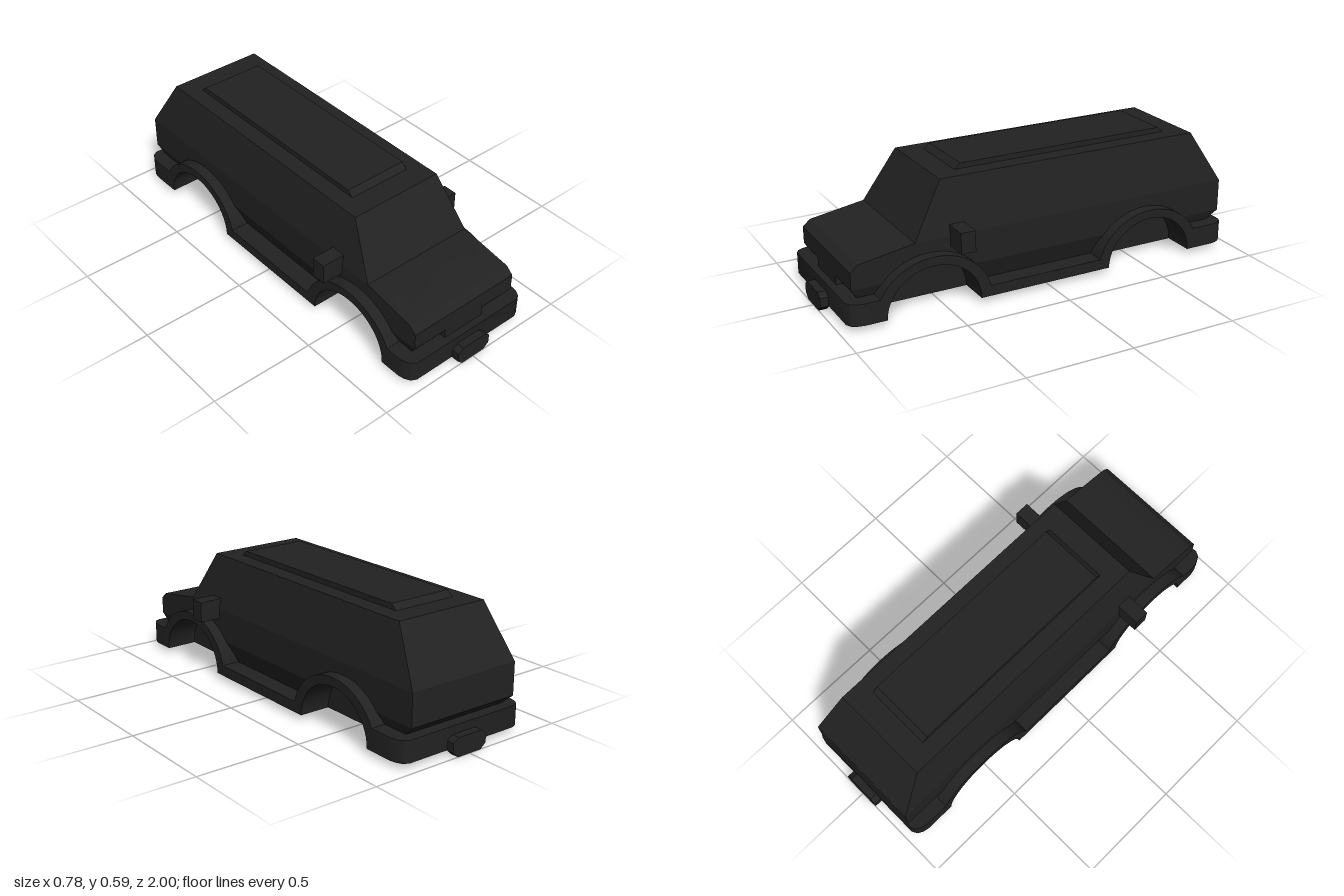
import * as THREE from 'three';
import { toCreasedNormals } from 'three/addons/utils/BufferGeometryUtils.js';

const WELL = 0.19;           // x of the inner wall of the wheel wells
const SKIRT = 0.34;          // half width of sills, arches and bumpers
const WHEELS = [0.572, -0.53];

export function createModel() {
  const model = new THREE.Group();
  model.name = 'van';
  const paint = new THREE.MeshStandardMaterial({ color: 0x222222 });
  paint.name = 'charcoal';

  const add = (name, geometry) => {
    const mesh = new THREE.Mesh(toCreasedNormals(geometry, 0.5), paint);
    mesh.name = name;
    model.add(mesh);
    return mesh;
  };

  const box = (name, x0, x1, y0, y1, z0, z1) => add(name,
    new THREE.BoxGeometry(x1 - x0, y1 - y0, z1 - z0)
      .translate((x0 + x1) / 2, (y0 + y1) / 2, (z0 + z1) / 2));

  // Extrude a [z, y] side profile across x; width(y) reshapes the outer faces
  const slab = (name, profile, x0, x1, width) => {
    const shape = new THREE.Shape(profile.map(([z, y]) => new THREE.Vector2(-z, y)));
    const g = new THREE.ExtrudeGeometry(shape, { depth: x1 - x0, bevelEnabled: false });
    g.rotateY(Math.PI / 2).translate(x0, 0, 0);
    if (width) {
      const p = g.attributes.position;
      for (let i = 0; i < p.count; i++) {
        const x = p.getX(i);
        if (Math.abs(x) > WELL + 0.001) p.setX(i, Math.sign(x) * width(p.getY(i)));
      }
      g.computeVertexNormals();
    }
    return add(name, g);
  };

  const bothSides = (name, profile, inner, outer, width) => {
    slab(name + 'Left', profile, inner, outer, width);
    slab(name + 'Right', profile, -outer, -inner, width);
  };

  // Upper cabin, tapering towards the roof
  slab('cabin', [[0.635, 0.323], [0.49, 0.568], [-0.815, 0.568], [-0.96, 0.323]], -0.287, 0.287,
    y => 0.287 - 0.052 * (y - 0.323) / 0.245);

  // Raised roof panel
  slab('roofPanel', [[0.385, 0.566], [0.355, 0.593], [-0.68, 0.593], [-0.71, 0.566]], -0.157, 0.157);

  // Middle body with bonnet: core plus notched side panels
  const bonnet = [[-0.96, 0.17], [-0.96, 0.323], [0.635, 0.323], [0.895, 0.28], [0.93, 0.25], [0.93, 0.17]];
  const notch = [[0.189, 0.17], [0.12, 0.218], [0, 0.245], [-0.12, 0.218], [-0.189, 0.17]];
  const notches = WHEELS.flatMap(c => notch.map(([z, y]) => [c + z, y]));
  slab('bodyCore', bonnet, -WELL, WELL);
  bothSides('bodySide', [...bonnet, ...notches], WELL, 0.287);

  // Lower body, tucked in towards the sills and interrupted by the wells
  const tuck = y => 0.287 - 0.37 * (0.17 - y);
  const nose = [[0.93, 0.17], [0.9, 0.125], [0.9, 0.07]];
  const tail = [[-0.91, 0.07], [-0.91, 0.125], [-0.96, 0.17]];
  const [f, r] = WHEELS;
  slab('lowerCore', [...nose, ...tail], -WELL, WELL);
  bothSides('lowerNose', [...nose, [f + 0.245, 0.07], [f + 0.189, 0.17]], WELL, 0.287, tuck);
  bothSides('lowerMiddle', [[f - 0.189, 0.17], [f - 0.245, 0.07], [r + 0.245, 0.07], [r + 0.189, 0.17]],
    WELL, 0.287, tuck);
  bothSides('lowerTail', [[r - 0.189, 0.17], [r - 0.245, 0.07], ...tail], WELL, 0.287, tuck);
  box('grille', -0.11, 0.11, 0.12, 0.17, 0.85, 0.93);

  // Floor and sills
  box('floor', -WELL, WELL, 0.025, 0.07, -0.9, 0.9);
  for (const [side, s] of [['Left', 1], ['Right', -1]]) {
    box('sill' + side, Math.min(s * WELL, s * SKIRT), Math.max(s * WELL, s * SKIRT),
      0.025, 0.075, r + 0.222, f - 0.222);
    // Door mirrors
    box('mirror' + side, Math.min(s * 0.25, s * 0.39), Math.max(s * 0.25, s * 0.39),
      0.275, 0.372, 0.4, 0.47);
  }

  // Wheel arches: half-elliptical rings that also line the wells
  const arc = (c, rx, ry, flip) => Array.from({ length: 25 }, (_, i) => {
    const a = Math.PI * (flip ? 24 - i : i) / 24;
    return [c + rx * Math.cos(a), 0.025 + ry * Math.sin(a)];
  });
  WHEELS.forEach((c, i) => bothSides(i ? 'rearArch' : 'frontArch',
    [...arc(c, 0.275, 0.243), ...arc(c, 0.222, 0.202, true)], WELL, SKIRT));

  // Bumpers with rounded corners, and the plate holder on each
  const plate = new THREE.Shape([[-0.065, 0], [0.065, 0], [0.092, 0.025], [0.092, 0.067], [0.065, 0.087],
    [-0.065, 0.087], [-0.092, 0.067], [-0.092, 0.025]].map(p => new THREE.Vector2(...p)));
  for (const [name, s, inner] of [['front', 1, f + 0.222], ['rear', -1, r - 0.222]]) {
    const half = [[SKIRT, Math.abs(inner)], [SKIRT, 0.895], [0.334, 0.925], [0.32, 0.95], [0.295, 0.963]];
    const outline = [...half, ...half.map(([x, z]) => [-x, z]).reverse()];
    const bumper = new THREE.ExtrudeGeometry(
      new THREE.Shape(outline.map(([x, z]) => new THREE.Vector2(x, -s * z))),
      { depth: 0.1, bevelEnabled: false });
    add(name + 'Bumper', bumper.rotateX(-Math.PI / 2).translate(0, 0.025, 0));
    const holder = new THREE.ExtrudeGeometry(plate, { depth: 0.04, bevelEnabled: false });
    add(name + 'PlateHolder', holder.translate(0, 0, s > 0 ? 0.96 : -1));
  }
  return model;
}
